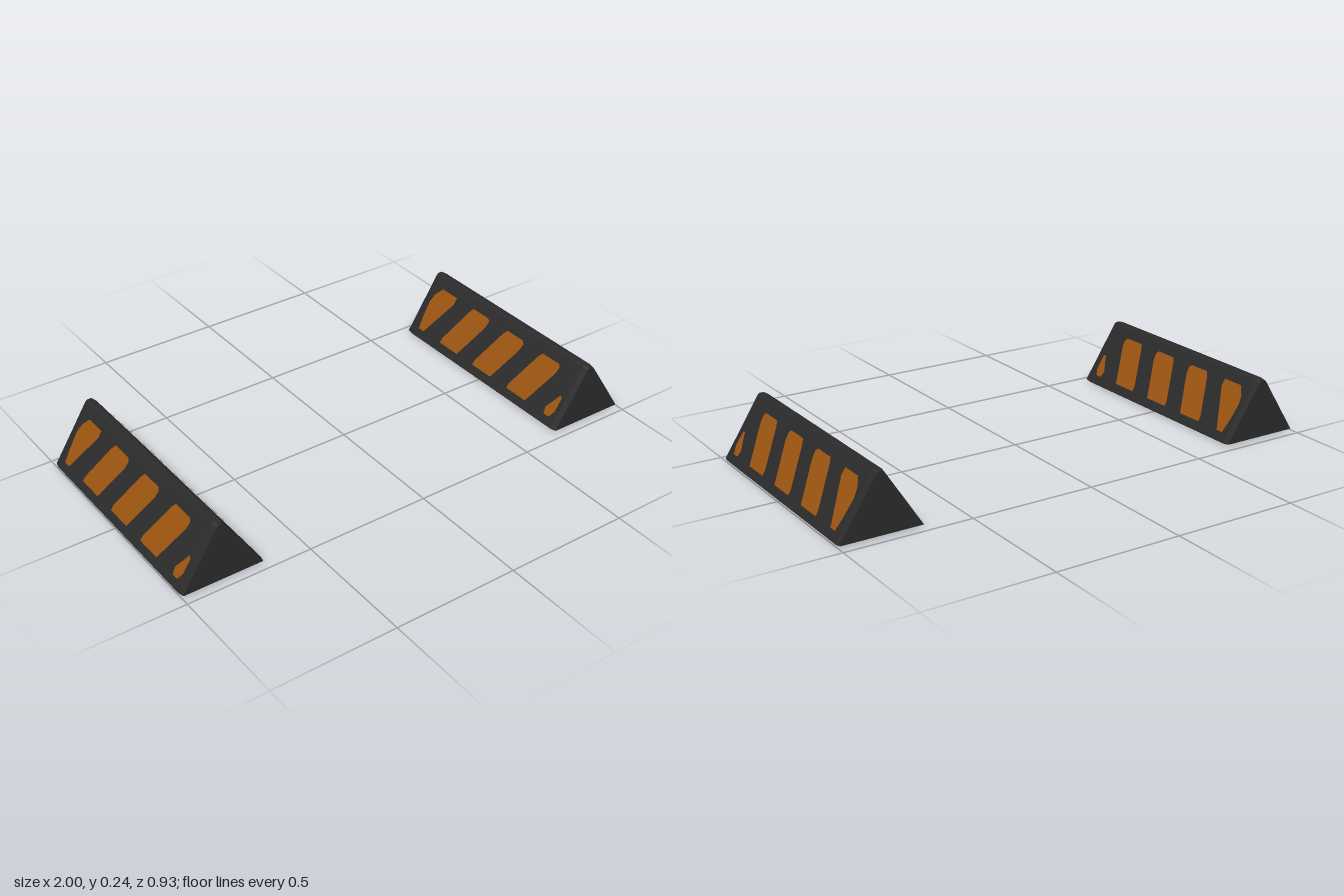
import * as THREE from 'three';

const black = new THREE.MeshStandardMaterial({ color: 0x2b2b2b });
black.name = 'black rubber';
const orange = new THREE.MeshStandardMaterial({ color: 0x9c5510 });
orange.name = 'warning orange';

const HALF = 0.165, HEIGHT = 0.24, LENGTH = 0.93, BEVEL = 0.025;
const LIFT = 0.003; // height of the painted stripes over the surface

// Stripe outlines in face coordinates: u runs along the length, v up the face
const FULL = [[-0.27, 0.035], [-0.158, 0.035], [-0.158, 0.052], [-0.226, 0.183],
  [-0.24, 0.2], [-0.335, 0.2], [-0.345, 0.19], [-0.34, 0.165]];
const CLIPPED = [[0.38, 0.035], [0.411, 0.035], [0.42, 0.08], [0.425, 0.14],
  [0.415, 0.17], [0.388, 0.2], [0.295, 0.2], [0.295, 0.175]];
const CORNER = [[-0.41, 0.035], [-0.38, 0.035], [-0.374, 0.058], [-0.4, 0.095],
  [-0.412, 0.115], [-0.425, 0.11], [-0.425, 0.06]];
const shift = (pts, d) => pts.map(([u, v]) => [u + d, v]);
const STRIPES = [CORNER, FULL, shift(FULL, 0.213), shift(FULL, 0.426), CLIPPED];

// Triangular bar with clipped edges and bevelled ends
function barGeometry() {
  const profile = new THREE.Shape([
    [-HALF + 0.005, 0], [HALF - 0.005, 0], [HALF, 0.005], [0.018, 0.233], [0.009, HEIGHT],
    [-0.009, HEIGHT], [-0.018, 0.233], [-HALF, 0.005],
  ].map(([x, y]) => new THREE.Vector2(x, y)));
  const geo = new THREE.ExtrudeGeometry(profile, {
    depth: LENGTH - 2 * BEVEL, bevelEnabled: true, bevelSegments: 1,
    bevelThickness: BEVEL, bevelSize: 0.004, bevelOffset: -0.004,
  });
  return geo.translate(0, 0, -LENGTH / 2 + BEVEL);
}

// Lay the flat stripe shapes onto a face by a placing rule
function stripeGeometry(place, mirrored = false) {
  const shapes = STRIPES.map(s => new THREE.Shape(s.map(([u, v]) => new THREE.Vector2(u, v))));
  const geo = new THREE.ShapeGeometry(shapes);
  const pos = geo.attributes.position;
  for (let i = 0; i < pos.count; i++) pos.setXYZ(i, ...place(pos.getX(i), pos.getY(i)));
  if (mirrored) {
    geo.scale(-1, 1, 1);
    geo.index.array.reverse();
  }
  geo.computeVertexNormals();
  return geo;
}

const slope = (HALF - 0.018) / 0.228;
const onSide = (u, v) => [HALF - (v - 0.005) * slope + LIFT, v + LIFT * slope, -u];
const onBase = (u, v) => [HALF - v * (2 * HALF / HEIGHT), -LIFT, u];

function add(group, name, geometry, material) {
  const mesh = new THREE.Mesh(geometry, material);
  mesh.name = name;
  group.add(mesh);
}

export function createModel() {
  const model = new THREE.Group();
  model.name = 'stripedBars';
  for (const side of [1, -1]) {
    const bar = new THREE.Group();
    bar.name = side > 0 ? 'leftBar' : 'rightBar';
    add(bar, 'triangularBody', barGeometry(), black);
    add(bar, 'leftFaceStripes', stripeGeometry(onSide), orange);
    add(bar, 'rightFaceStripes', stripeGeometry(onSide, true), orange);
    add(bar, 'baseStripes', stripeGeometry(onBase), orange);
    bar.position.x = side * (1 - HALF);
    model.add(bar);
  }
  return model;
}
